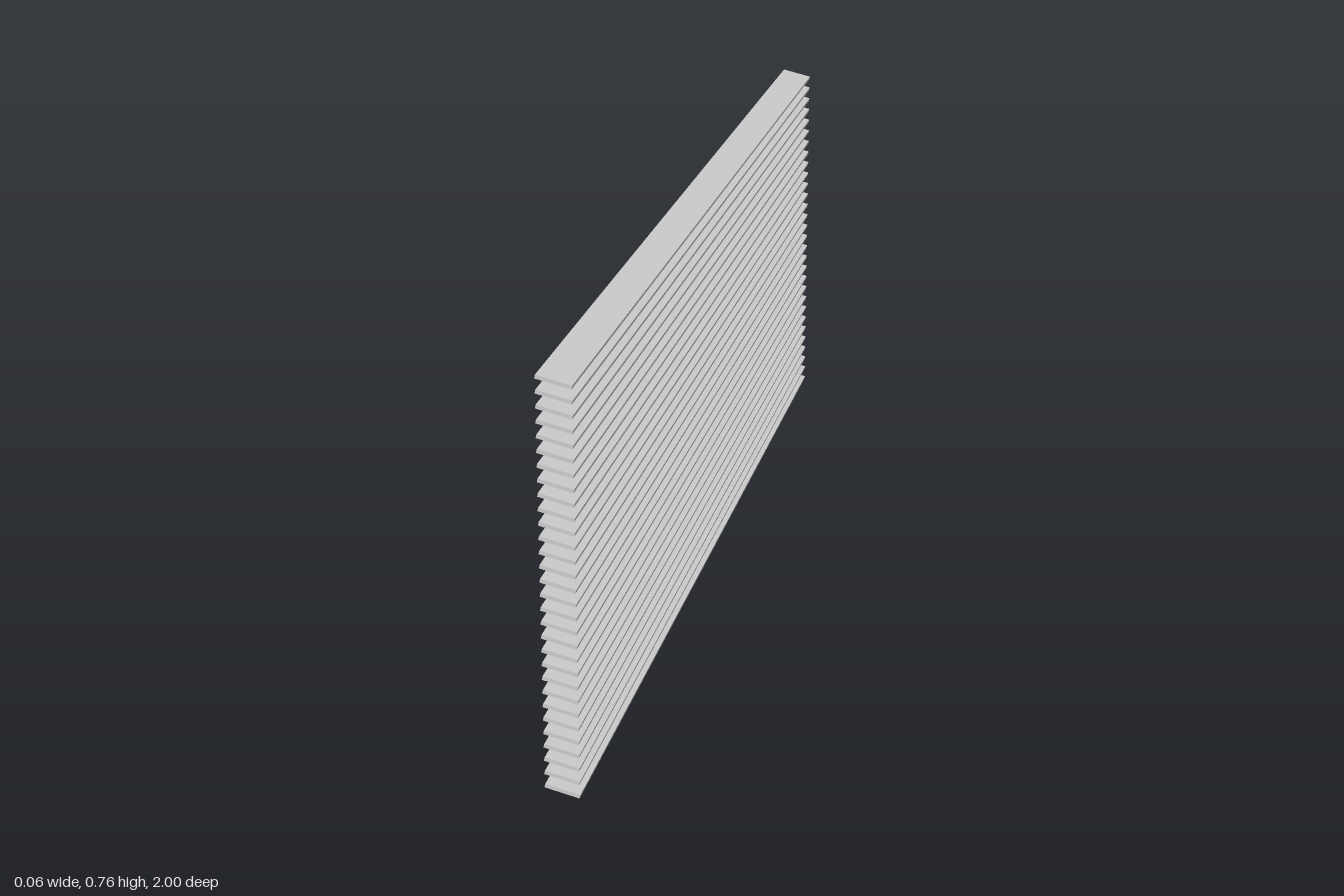
import * as THREE from 'three';

export function createModel() {
  const model = new THREE.Group();
  model.name = 'louvreBlind';
  const material = new THREE.MeshStandardMaterial({ color: 0xcccccc, flatShading: true });

  // Thin slats, evenly stacked and tilted down towards +x
  const count = 30, totalHeight = 0.76;
  const width = 0.0625, thickness = 0.007, length = 2;
  const tilt = THREE.MathUtils.degToRad(12.5);
  const slatHeight = width * Math.sin(tilt) + thickness * Math.cos(tilt);
  const pitch = (totalHeight - slatHeight) / (count - 1);
  const geometry = new THREE.BoxGeometry(width, thickness, length);

  for (let i = 0; i < count; i++) {
    const slat = new THREE.Mesh(geometry, material);
    slat.name = `slat${i + 1}`;
    slat.position.y = slatHeight / 2 + i * pitch;
    slat.rotation.z = -tilt;
    model.add(slat);
  }
  return model;
}
